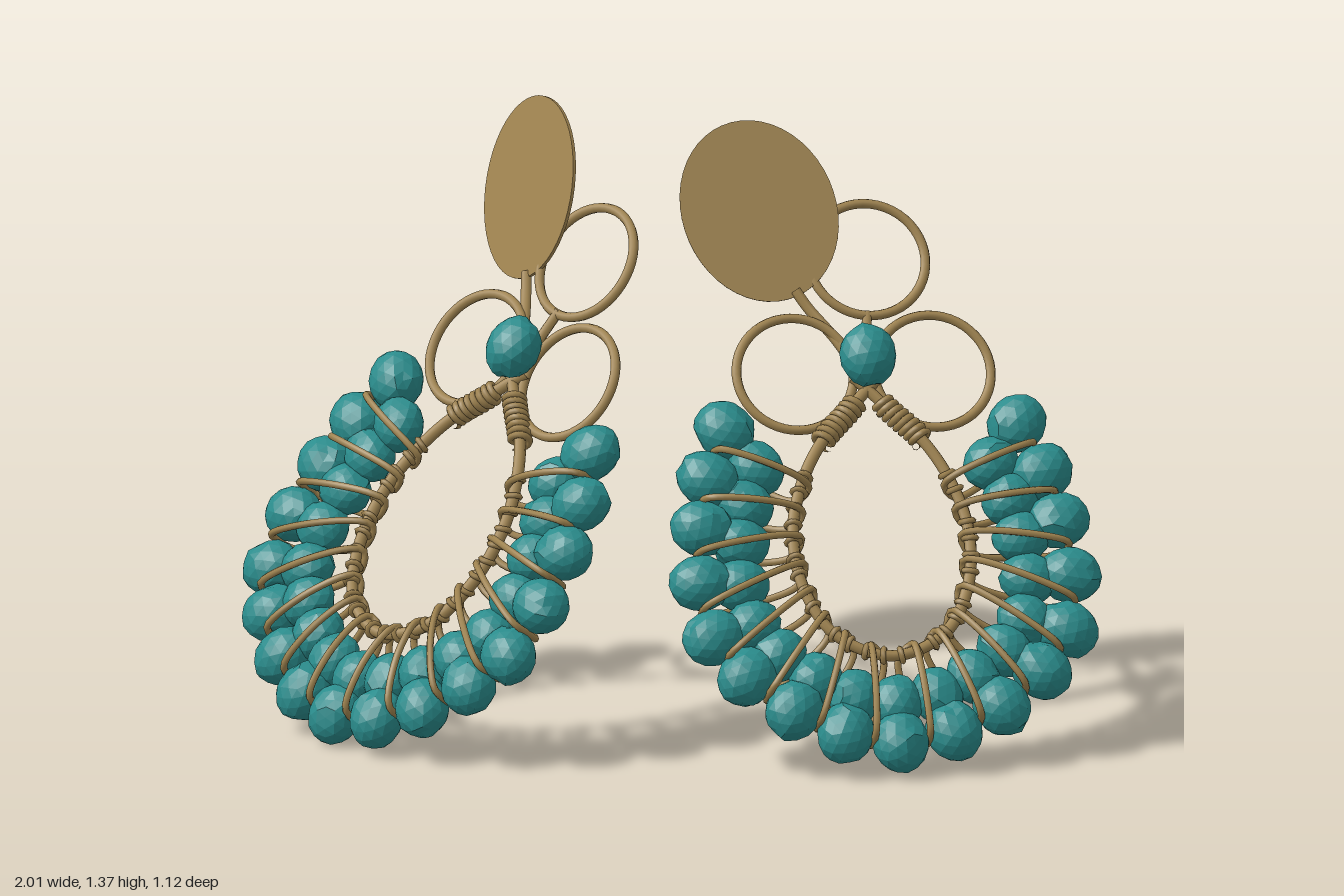
import * as THREE from 'three';

const V = (x, y, z = 0) => new THREE.Vector3(x, y, z);
const gold = new THREE.MeshStandardMaterial({ color: 0xa08450 });
const teal = new THREE.MeshStandardMaterial({ color: 0x2a8c8c, flatShading: true });

// mirror half a profile (listed from the left top to the bottom centre) to the right
const mirrored = (half) => [
  ...half,
  ...half.slice(0, -1).reverse().map(([x, y]) => [-x, y]),
].map(([x, y]) => V(x, y));

function add(group, name, geometry, material) {
  const mesh = new THREE.Mesh(geometry, material);
  mesh.name = name;
  group.add(mesh);
  return mesh;
}

function wire(group, name, points, radius, segments = 24, closed = false) {
  const curve = new THREE.CatmullRomCurve3(points, closed);
  return add(group, name, new THREE.TubeGeometry(curve, segments, radius, 7, closed), gold);
}

// unevenly cut stone
const stoneGeometry = new THREE.IcosahedronGeometry(1.04, 2);
const corners = stoneGeometry.attributes.position;
for (let i = 0; i < corners.count; i++) {
  const p = V(0, 0).fromBufferAttribute(corners, i);
  p.multiplyScalar(1 + 0.05 * Math.sin(9 * p.x + 4 * p.y) * Math.cos(8 * p.z - 5 * p.y));
  corners.setXYZ(i, p.x, p.y, p.z);
}

// faceted bead, its long axis turned outward
function bead(group, name, p, angle, i, size = 1) {
  const holder = new THREE.Group();
  holder.name = name;
  holder.position.copy(p);
  holder.rotation.z = angle;
  holder.scale.set(0.072 * size, 0.064 * size, 0.057 * size);
  const stone = add(holder, 'beadStone', stoneGeometry, teal);
  stone.rotation.set(i * 1.3, i * 2.1, i * 0.7);
  group.add(holder);
}

// drop-shaped hoop of wire with two rows of bound beads
function createHoop() {
  const g = new THREE.Group();
  g.name = 'beadedHoop';
  const centre = V(0, -0.5);

  // core wire, its ends crossing at the top
  const core = new THREE.CatmullRomCurve3(mirrored([
    [0.03, -0.04], [-0.01, -0.08], [-0.05, -0.125], [-0.12, -0.2], [-0.175, -0.3],
    [-0.207, -0.42], [-0.195, -0.56], [-0.13, -0.68], [0, -0.735],
  ]));
  add(g, 'coreWire', new THREE.TubeGeometry(core, 120, 0.014, 8), gold);

  // outer row of beads
  const outer = mirrored([
    [-0.345, -0.163], [-0.395, -0.285], [-0.422, -0.407], [-0.437, -0.543], [-0.418, -0.68],
    [-0.348, -0.78], [-0.245, -0.865], [-0.128, -0.925], [0, -0.95],
  ]);
  const outward = (p) => Math.atan2(p.y - centre.y, p.x - centre.x);
  outer.forEach((p, i) => bead(g, 'outerBead', p, outward(p), i + 1));

  // inner row, tucked between the outer row and the core
  const row = new THREE.CatmullRomCurve3(outer);
  const last = outer.length - 1;
  for (let i = 0; i <= last; i++) {
    const p = row.getPoint((0.2 + i * (last - 0.4) / last) / last);
    p.sub(centre).multiplyScalar(0.78).add(centre);
    p.z = -0.008;
    bead(g, 'innerBead', p, outward(p), i + 30, 0.92);
  }

  // binding wires run from the core between the inner beads and round the outer gaps
  const coreAt = (k) => core.getPointAt(0.18 + 0.64 * (k / last));
  for (let i = 0; i < last; i++) {
    const lean = i < last / 2 ? -0.25 : 0.25;
    const foot = coreAt(i + 0.5 + lean);
    const foot2 = coreAt(i + 0.5 - lean);
    const gap = row.getPoint((i + 0.5) / last);
    const inward = centre.clone().sub(gap).normalize();
    const tip = gap.clone().addScaledVector(inward, 0.005);
    wire(g, 'bindingWire', [
      foot.clone().addScaledVector(inward, 0.02),
      foot.clone().setZ(0.025),
      foot.clone().lerp(tip, 0.5).setZ(0.056),
      tip.clone().setZ(0.043),
      tip.clone().addScaledVector(inward, -0.012),
      tip.clone().setZ(-0.043),
      foot2.clone().lerp(tip, 0.5).setZ(-0.06),
      foot2.clone().setZ(-0.025),
    ], 0.0085, 40, true);
  }

  // short turns of wire round the core
  for (let i = 0; i < 28; i++) {
    const s = 0.18 + 0.64 * (i / 27);
    const turn = add(g, 'coreTurn', new THREE.TorusGeometry(0.016, 0.007, 5, 10), gold);
    turn.position.copy(core.getPointAt(s));
    turn.quaternion.setFromUnitVectors(V(0, 0, 1), core.getTangentAt(s).add(V(0, 0, 0.25)).normalize());
  }

  // tight coils on both sides below the top
  for (const side of [0, 1]) {
    const points = [];
    for (let i = 0; i <= 96; i++) {
      const s = 0.05 + 0.075 * (i / 96);
      const at = side ? 1 - s : s;
      const tangent = core.getTangentAt(at);
      const a = (i / 12) * Math.PI * 2;
      points.push(core.getPointAt(at)
        .add(V(-tangent.y, tangent.x).multiplyScalar(0.022 * Math.cos(a)))
        .add(V(0, 0, 0.022 * Math.sin(a))));
    }
    wire(g, 'topCoil', points, 0.0085, 130);
  }
  return g;
}

function createEarring() {
  const g = new THREE.Group();

  // the hoop hangs just behind the top bead, its lower end swung forward
  const hoop = createHoop();
  hoop.position.z = -0.043;
  hoop.rotation.x = -0.035;
  g.add(hoop);

  // three wire rings behind the top bead
  for (const [x, y, z] of [[-0.165, -0.025, -0.05], [0.16, -0.025, -0.05], [0.03, 0.255, -0.055]]) {
    const ring = add(g, 'wireRing', new THREE.TorusGeometry(0.138, 0.0115, 8, 48), gold);
    ring.position.set(x, y, z);
  }
  wire(g, 'ringLink', [V(0.02, 0.125, -0.055), V(0.01, 0.05, -0.05), V(0, -0.07, -0.04)], 0.012);

  // top bead
  bead(g, 'topBead', V(0, 0, 0.005), Math.PI / 2, 7);

  // thin oval plate with its stem
  const axis = V(-0.37, 0.92, 0.19).normalize();
  const normal = V(-0.18, -0.27, 0.95).normalize();
  const across = new THREE.Vector3().crossVectors(normal, axis).normalize();
  const plate = add(g, 'ovalPlate', new THREE.CylinderGeometry(1, 1, 0.008, 48), gold);
  plate.quaternion.setFromRotationMatrix(new THREE.Matrix4().makeBasis(
    across, normal, new THREE.Vector3().crossVectors(across, normal)));
  plate.scale.set(0.178, 1, 0.217);
  plate.position.set(-0.22, 0.37, -0.025);
  wire(g, 'plateStem', [
    V(-0.143, 0.185, -0.063), V(-0.115, 0.14, -0.065), V(-0.06, 0.06, -0.055), V(0, -0.06, -0.035),
  ], 0.013);
  return g;
}

// turn an earring so its own width and height follow the given directions
function place(earring, name, position, u, v) {
  u.normalize();
  const n = new THREE.Vector3().crossVectors(u, v).normalize();
  const up = new THREE.Vector3().crossVectors(n, u);
  earring.quaternion.setFromRotationMatrix(new THREE.Matrix4().makeBasis(u, up, n));
  earring.position.copy(position);
  earring.name = name;
  return earring;
}

export function createModel() {
  const model = new THREE.Group();
  model.name = 'earringPair';
  model.add(
    place(createEarring(), 'leftEarring', V(0.44, 0.85, -0.04), V(0.976, -0.029, -0.215), V(-0.124, 0.82, -0.56)),
    place(createEarring(), 'rightEarring', V(-0.38, 0.85, -0.08), V(0.678, -0.042, 0.735), V(0.415, 0.83, -0.373)),
  );
  return model;
}
